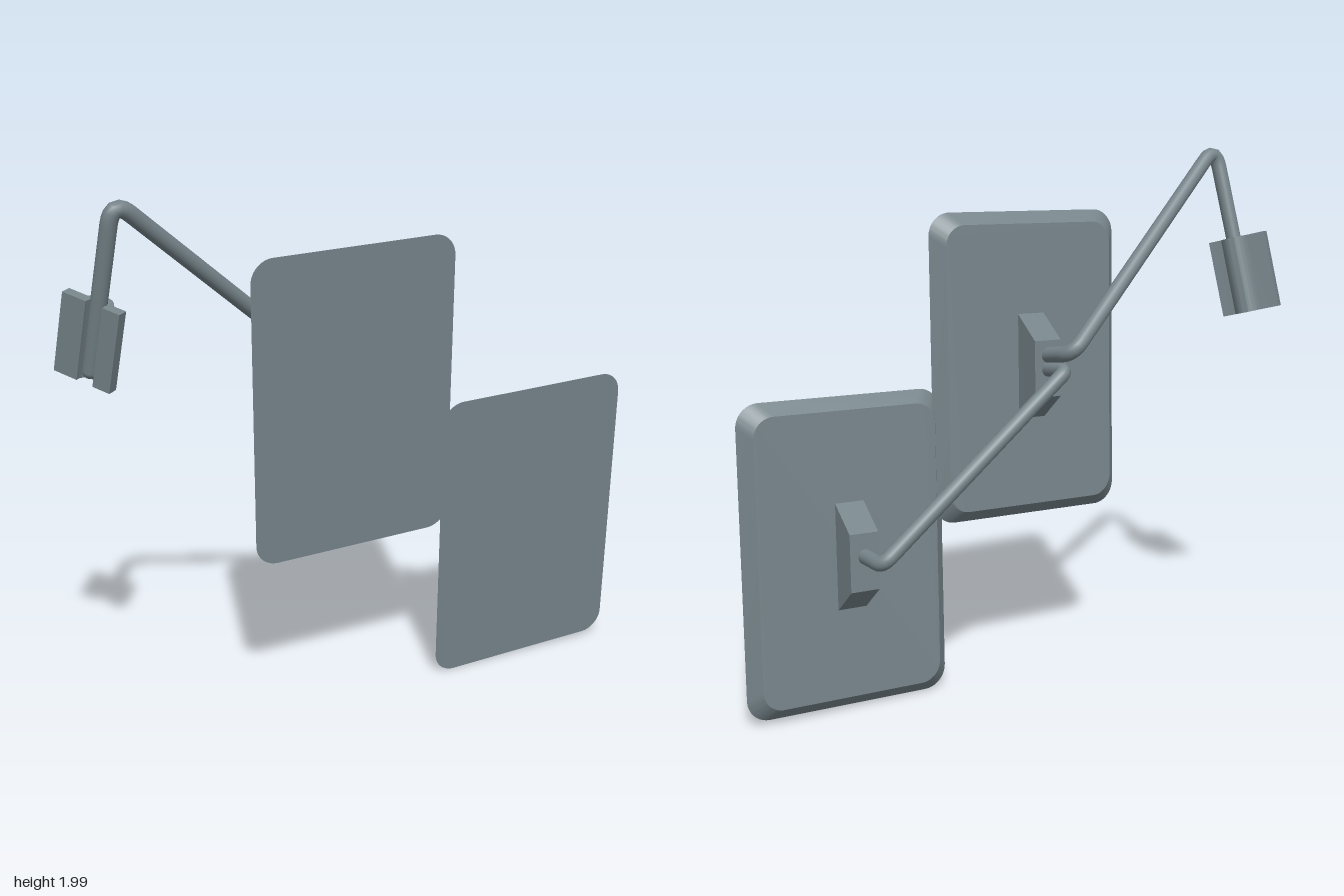
import * as THREE from 'three';
import { toCreasedNormals } from 'three/addons/utils/BufferGeometryUtils.js';

const V = (x, y, z) => new THREE.Vector3(x, y, z);
const metal = new THREE.MeshStandardMaterial({ color: 0x76848a });
metal.name = 'grey metal';

function part(name, geometry, parent) {
  const mesh = new THREE.Mesh(geometry, metal);
  mesh.name = name;
  parent.add(mesh);
  return mesh;
}

// Rounded panel: full size at the front, tapering to a smaller back face
function panelGeometry(w, h, r, depth, inset) {
  const a = w / 2, b = h / 2, s = new THREE.Shape();
  s.absarc(a - r, b - r, r, 0, Math.PI / 2);
  s.absarc(r - a, b - r, r, Math.PI / 2, Math.PI);
  s.absarc(r - a, r - b, r, Math.PI, Math.PI * 1.5);
  s.absarc(a - r, r - b, r, Math.PI * 1.5, Math.PI * 2);
  const g = new THREE.ExtrudeGeometry(s, { depth, bevelEnabled: false, curveSegments: 8 });
  const p = g.attributes.position;
  for (let i = 0; i < p.count; i++) {
    if (p.getZ(i) < depth / 2) {
      p.setXY(i, p.getX(i) * (1 - 2 * inset / w), p.getY(i) * (1 - 2 * inset / h));
    }
  }
  g.translate(0, 0, -depth);
  return toCreasedNormals(g, 0.6);
}

// Wedge-shaped mount, its profile drawn from the side
function mountGeometry() {
  const s = new THREE.Shape([[-0.045, -0.2], [-0.17, -0.105], [-0.17, 0.105], [-0.045, 0.2]]
    .map(([x, y]) => new THREE.Vector2(x, y)));
  const g = new THREE.ExtrudeGeometry(s, { depth: 0.11, bevelEnabled: false });
  return g.translate(0, 0, -0.055).rotateY(-Math.PI / 2);
}

// Bent rod through corner points, each corner rounded over a given length
function rodGeometry(points, bends, radius) {
  const path = new THREE.CurvePath();
  let from = points[0];
  for (let i = 1; i < points.length - 1; i++) {
    const c = points[i], cut = bends[i - 1];
    const a = c.clone().add(points[i - 1].clone().sub(c).setLength(cut));
    const b = c.clone().add(points[i + 1].clone().sub(c).setLength(cut));
    path.add(new THREE.LineCurve3(from, a));
    path.add(new THREE.QuadraticBezierCurve3(a, c, b));
    from = b;
  }
  path.add(new THREE.LineCurve3(from, points[points.length - 1]));
  return new THREE.TubeGeometry(path, 110, radius, 16);
}

// Clamp section: two flanges with a half-round channel between them
function clampGeometry(length) {
  const s = new THREE.Shape();
  s.moveTo(-0.125, -0.02);
  s.lineTo(-0.032, -0.02);
  s.absarc(0, -0.01, 0.032, Math.PI, 0, true);
  s.lineTo(0.032, -0.02);
  s.lineTo(0.1, -0.02);
  s.lineTo(0.1, 0.02);
  s.lineTo(0.055, 0.02);
  s.absarc(0, 0.005, 0.052, 0.3, Math.PI - 0.3, false);
  s.lineTo(-0.055, 0.02);
  s.lineTo(-0.125, 0.02);
  const g = new THREE.ExtrudeGeometry(s, { depth: length, bevelEnabled: false, curveSegments: 14 });
  return toCreasedNormals(g.translate(0, 0, -length / 2), 0.5);
}

// Turn an object so its x axis follows x and its y axis lies close to y
function orient(object, x, y) {
  const ux = x.clone().normalize();
  const uz = ux.clone().cross(y).normalize();
  const uy = uz.clone().cross(ux);
  object.quaternion.setFromRotationMatrix(new THREE.Matrix4().makeBasis(ux, uy, uz));
}

export function createModel() {
  const model = new THREE.Group();
  model.name = 'mirrorAssembly';

  // Two matching mirrors with their rear mounts
  const mirrors = [['upperMirror', V(-0.127, 1.207, 0.1)], ['lowerMirror', V(0.587, 0.587, 0.35)]];
  for (const [name, centre] of mirrors) {
    const mirror = new THREE.Group();
    mirror.name = name;
    mirror.position.copy(centre);
    orient(mirror, V(0.942, 0.026, 0.335), V(-0.046, 0.997, 0.055));
    part('mirrorPanel', panelGeometry(0.79, 1.148, 0.085, 0.05, 0.045), mirror);
    part('mirrorMount', mountGeometry(), mirror);
    model.add(mirror);
  }

  // Main arm from the clamp over to the upper mirror
  const foot = V(-0.913, 1.4, -0.382);
  part('mainArm', rodGeometry([
    foot, V(-0.915, 2.0, -0.212), V(-0.04, 1.295, -0.2), V(-0.085, 1.262, -0.02),
  ], [0.09, 0.06], 0.029), model);
  part('mainArmEnd', new THREE.SphereGeometry(0.029, 16, 10), model).position.copy(foot);

  // Linking arm between the two mirrors
  part('linkArm', rodGeometry([
    V(0.63, 0.618, 0.22), V(0.675, 0.62, 0.07), V(-0.04, 1.23, -0.17), V(-0.085, 1.212, -0.02),
  ], [0.04, 0.035], 0.028), model);

  // Clamp around the foot of the main arm
  const clamp = part('clamp', clampGeometry(0.296), model);
  clamp.position.set(-0.92, 1.505, -0.352);
  orient(clamp, V(0.31, -0.25, 0.92), V(0.95, 0.08, -0.3));

  return model;
}
